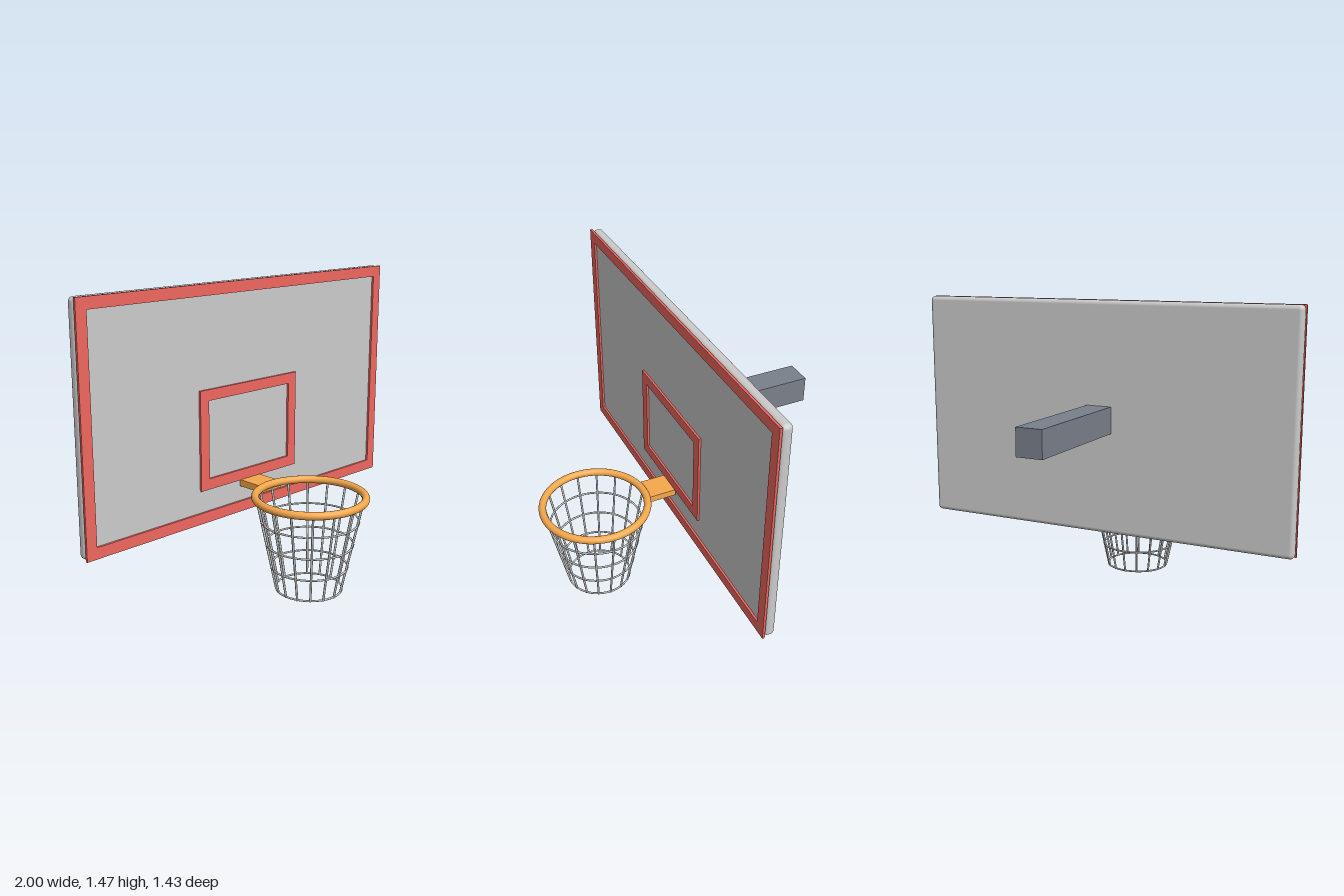
import * as THREE from 'three';
import { RoundedBoxGeometry } from 'three/addons/geometries/RoundedBoxGeometry.js';

const paint = (color) => new THREE.MeshStandardMaterial({ color });

export function createModel() {
  const model = new THREE.Group();
  const grey = paint(0xcccccc);
  const red = paint(0xef6860);
  const orange = paint(0xf5a84c);
  const slate = paint(0x7a808b);

  const add = (name, geometry, material, x, y, z, parent = model) => {
    const mesh = new THREE.Mesh(geometry, material);
    mesh.name = name;
    mesh.position.set(x, y, z);
    parent.add(mesh);
    return mesh;
  };

  // Backboard with softened edges
  add('backboard', new RoundedBoxGeometry(2, 1.165, 0.055, 4, 0.022), grey, 0, 0.8875, -0.0185);

  // Painted borders: flat rectangular frames
  const frame = (name, w, h, band, y) => {
    const rect = (P, a, b) => new P([
      new THREE.Vector2(-a, -b), new THREE.Vector2(a, -b),
      new THREE.Vector2(a, b), new THREE.Vector2(-a, b),
    ]);
    const shape = rect(THREE.Shape, w / 2, h / 2);
    shape.holes.push(rect(THREE.Path, w / 2 - band, h / 2 - band));
    const geometry = new THREE.ExtrudeGeometry(shape, { depth: 0.012, bevelEnabled: false });
    add(name, geometry, red, 0, y, 0.008);
  };
  frame('outerBorder', 2, 1.165, 0.055, 0.8875);
  frame('targetSquare', 0.656, 0.498, 0.054, 0.721);

  // Support arm behind the board, bracket in front
  add('supportArm', new THREE.BoxGeometry(0.134, 0.134, 0.672), slate, 0, 0.887, -0.377);
  add('rimBracket', new THREE.BoxGeometry(0.134, 0.034, 0.155), orange, 0, 0.457, 0.0925);

  // Hoop
  const hoop = new THREE.Group();
  hoop.name = 'hoop';
  hoop.position.z = 0.43;
  model.add(hoop);
  const rimY = 0.471;
  add('rim', new THREE.TorusGeometry(0.264, 0.019, 16, 64).rotateX(Math.PI / 2), orange, 0, rimY, 0, hoop);

  // Net: tapered strands crossed by rings
  const net = new THREE.Group();
  net.name = 'net';
  hoop.add(net);
  const netRadius = (y) => 0.16 + 0.213 * y;
  const strands = 16;
  for (let i = 0; i < strands; i++) {
    const a = (i / strands) * Math.PI * 2;
    const at = (y) => new THREE.Vector3(Math.cos(a) * netRadius(y), y, Math.sin(a) * netRadius(y));
    const line = new THREE.LineCurve3(at(0.001), at(rimY));
    add('netStrand', new THREE.TubeGeometry(line, 1, 0.0055, 8), grey, 0, 0, 0, net);
  }
  for (const y of [0.005, 0.12, 0.237, 0.354]) {
    add('netRing', new THREE.TorusGeometry(netRadius(y), 0.005, 8, 48).rotateX(Math.PI / 2), grey, 0, y, 0, net);
  }
  return model;
}
